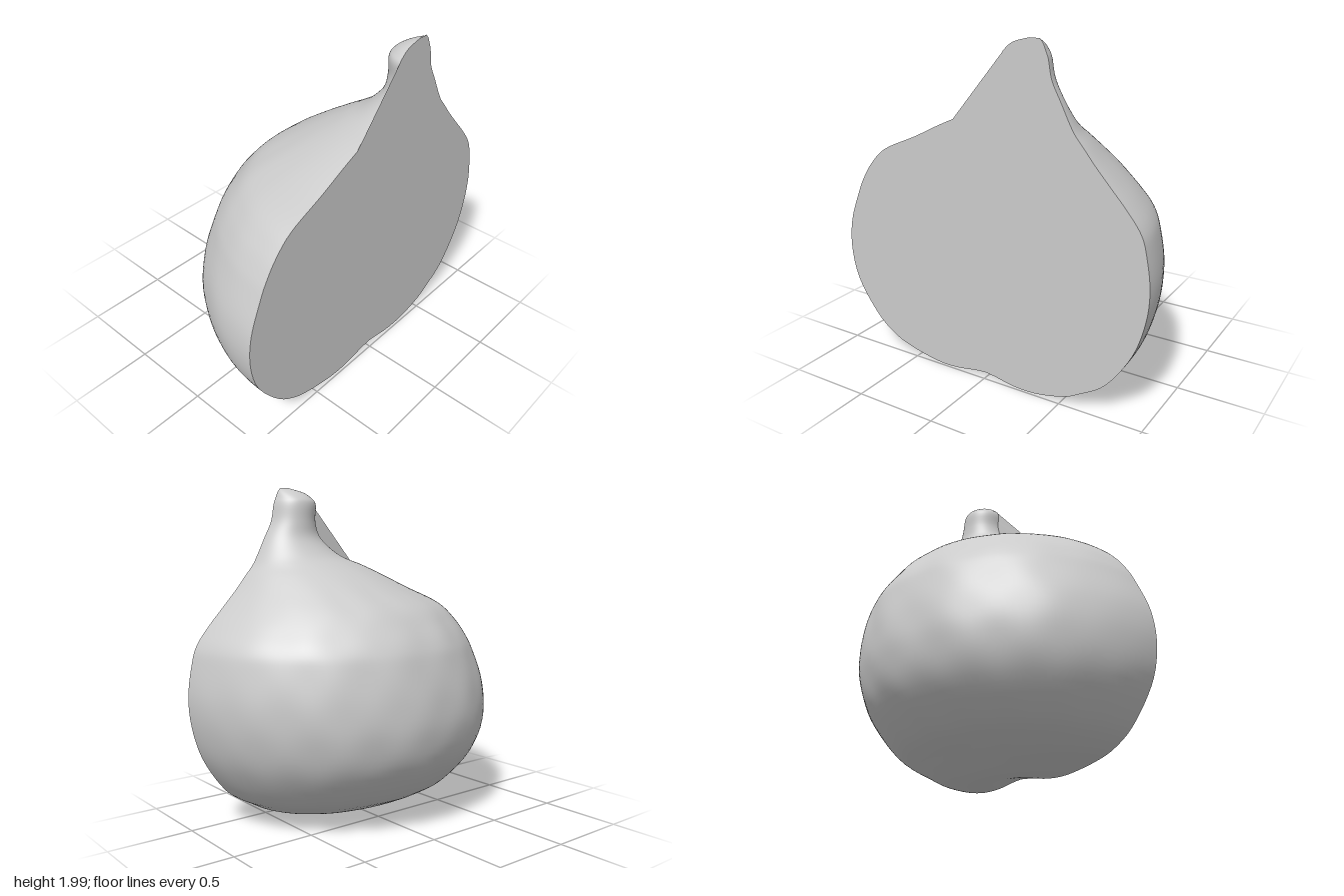
import * as THREE from 'three';

const CUT_Z = 0.485;   // plane of the flat cut face
const RINGS = 110, ARC = 72;

// Half-oval sections from base to stem tip: [y, x left edge, x right edge, depth behind the cut]
const SECTIONS = [
  [0.04, -0.01, 0.01, 0.01],
  [0.032, -0.08, 0.07, 0.06],
  [0.01, -0.22, 0.2, 0.18],
  [0.012, -0.36, 0.35, 0.3],
  [0.05, -0.55, 0.52, 0.42],
  [0.1, -0.68, 0.62, 0.54],
  [0.2, -0.81, 0.77, 0.72],
  [0.4, -0.95, 0.91, 0.9],
  [0.6, -1.0, 0.98, 0.965],
  [0.8, -0.985, 1.0, 0.96],
  [1.0, -0.91, 0.97, 0.915],
  [1.1, -0.86, 0.935, 0.875],
  [1.2, -0.79, 0.86, 0.805],
  [1.3, -0.68, 0.77, 0.715],
  [1.4, -0.46, 0.68, 0.57],
  [1.48, -0.3, 0.615, 0.44],
  [1.54, -0.17, 0.565, 0.335],
  [1.6, -0.02, 0.53, 0.245],
  [1.7, 0.1, 0.48, 0.165],
  [1.8, 0.14, 0.43, 0.145],
  [1.9, 0.135, 0.41, 0.14],
  [1.94, 0.16, 0.395, 0.12],
  [1.975, 0.21, 0.38, 0.07],
  [2.0, 0.3, 0.36, 0.002],
];

const edgeCurve = (k) => new THREE.CatmullRomCurve3(
  SECTIONS.map((s) => new THREE.Vector3(s[k], s[0], s[3])), false, 'catmullrom', 0.5);

// Rounded skin: half ovals swept between the two edge curves, with faint ribs and dents
function skinGeometry(left, right) {
  const pos = [], idx = [];
  for (let i = 0; i <= RINGS; i++) {
    const l = left[i], r = right[i];
    const cx = (l.x + r.x) / 2, hw = (r.x - l.x) / 2;
    for (let j = 0; j <= ARC; j++) {
      const a = (j / ARC) * Math.PI, s = Math.sin(a);
      const body = THREE.MathUtils.smoothstep(hw, 0.2, 0.8) * s;
      const k = 1 + body * (0.004 * Math.sin(a * 13 + l.y * 2)
        + 0.003 * Math.sin(a * 19 + 1) * Math.sin(l.y * 15) - 0.002);
      pos.push(cx + hw * Math.cos(a) * k, l.y, CUT_Z - l.z * s * k);
      if (i < RINGS && j < ARC) {
        const p = i * (ARC + 1) + j, q = p + ARC + 1;
        idx.push(p, p + 1, q, p + 1, q + 1, q);
      }
    }
  }
  const g = new THREE.BufferGeometry();
  g.setAttribute('position', new THREE.Float32BufferAttribute(pos, 3));
  g.setIndex(idx);
  g.computeVertexNormals();
  return g;
}

// Flat cut: the outline of the skin, bridged straight from shoulder to stem tip
function cutGeometry(left, right) {
  const bridged = left.filter((p) => p.y < 1.54 || p.y > 1.91);
  const outline = [...right, ...bridged.reverse()].map((p) => new THREE.Vector2(p.x, p.y));
  return new THREE.ShapeGeometry(new THREE.Shape(outline)).translate(0, 0, CUT_Z);
}

export function createModel() {
  const group = new THREE.Group();
  group.name = 'halvedFig';
  const left = edgeCurve(1).getPoints(RINGS), right = edgeCurve(2).getPoints(RINGS);

  const skin = new THREE.Mesh(skinGeometry(left, right),
    new THREE.MeshStandardMaterial({ color: 0xcccccc }));
  skin.name = 'skinAndStem';

  const cut = new THREE.Mesh(cutGeometry(left, right),
    new THREE.MeshStandardMaterial({ color: 0xcccccc, side: THREE.DoubleSide }));
  cut.name = 'cutFace';

  group.add(skin, cut);
  return group;
}
